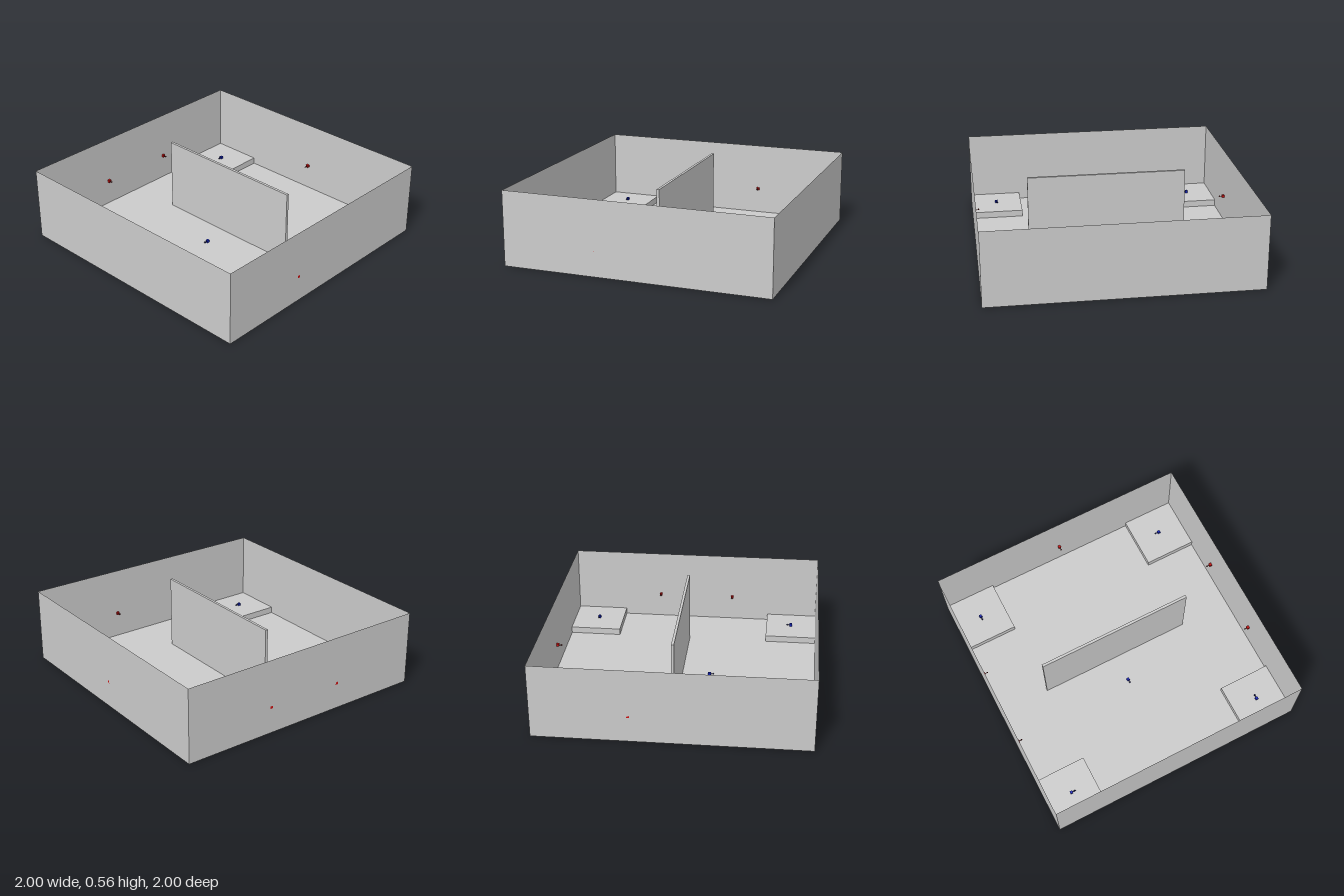
import * as THREE from 'three';

const HEIGHT = 0.565, STEP = 0.05;
const grey = new THREE.MeshStandardMaterial({ color: 0xcccccc });
const greySheet = new THREE.MeshStandardMaterial({ color: 0xcccccc, side: THREE.DoubleSide });
const paint = (color) => new THREE.MeshStandardMaterial({ color });
const red = paint(0xcc1111), darkRed = paint(0x550808);
const blue = paint(0x1122bb), darkBlue = paint(0x0a0a50);

function add(parent, name, geometry, material, x = 0, y = 0, z = 0) {
  const mesh = new THREE.Mesh(geometry, material);
  mesh.name = name;
  mesh.position.set(x, y, z);
  parent.add(mesh);
  return mesh;
}

// Small cube with an arrow that points along +z before turning
function marker(parent, name, body, dark, x, y, z, turn) {
  const group = new THREE.Group();
  group.name = name;
  add(group, 'markerCube', new THREE.BoxGeometry(0.02, 0.02, 0.02), body);
  const shaft = new THREE.CylinderGeometry(0.003, 0.003, 0.02, 8).rotateX(Math.PI / 2);
  add(group, 'arrowShaft', shaft, dark, 0, 0, 0.018);
  const head = new THREE.ConeGeometry(0.007, 0.012, 8).rotateX(Math.PI / 2);
  add(group, 'arrowHead', head, dark, 0, 0, 0.032);
  group.position.set(x, y, z);
  group.rotation.y = turn;
  parent.add(group);
}

export function createModel() {
  const model = new THREE.Group();
  model.name = 'arena';
  const q = Math.PI / 2;

  // Floor and four thin outer walls
  add(model, 'floor', new THREE.PlaneGeometry(2, 2).rotateX(-q), greySheet);
  ['frontWall', 'leftWall', 'backWall', 'rightWall'].forEach((name, i) => {
    const wall = new THREE.PlaneGeometry(2, HEIGHT).translate(0, HEIGHT / 2, 1).rotateY(i * q);
    add(model, name, wall, greySheet);
  });

  // Central partition
  add(model, 'partition', new THREE.BoxGeometry(1.2, HEIGHT, 0.02), grey, 0, HEIGHT / 2, -0.03);

  // Raised corner platforms, each with a blue marker turned a quarter further
  [[-1, -1, 0], [-1, 1, 1], [1, 1, 2], [1, -1, 3]].forEach(([sx, sz, turns]) => {
    add(model, 'cornerPlatform', new THREE.BoxGeometry(0.4, STEP, 0.4), grey, sx * 0.8, STEP / 2, sz * 0.8);
    marker(model, 'cornerMarker', blue, darkBlue, sx * 0.8, STEP + 0.01, sz * 0.8, turns * q);
  });
  marker(model, 'centreMarker', blue, darkBlue, 0, 0.01, 0.19, 0);

  // Red markers on the walls, pointing inward
  for (const side of [-1, 1]) {
    for (const z of [-0.3, 0.3]) marker(model, 'wallMarker', red, darkRed, side * 0.99, 0.2, z, -side * q);
  }
  marker(model, 'backWallMarker', red, darkRed, 0, 0.2, -0.99, 0);

  return model;
}
